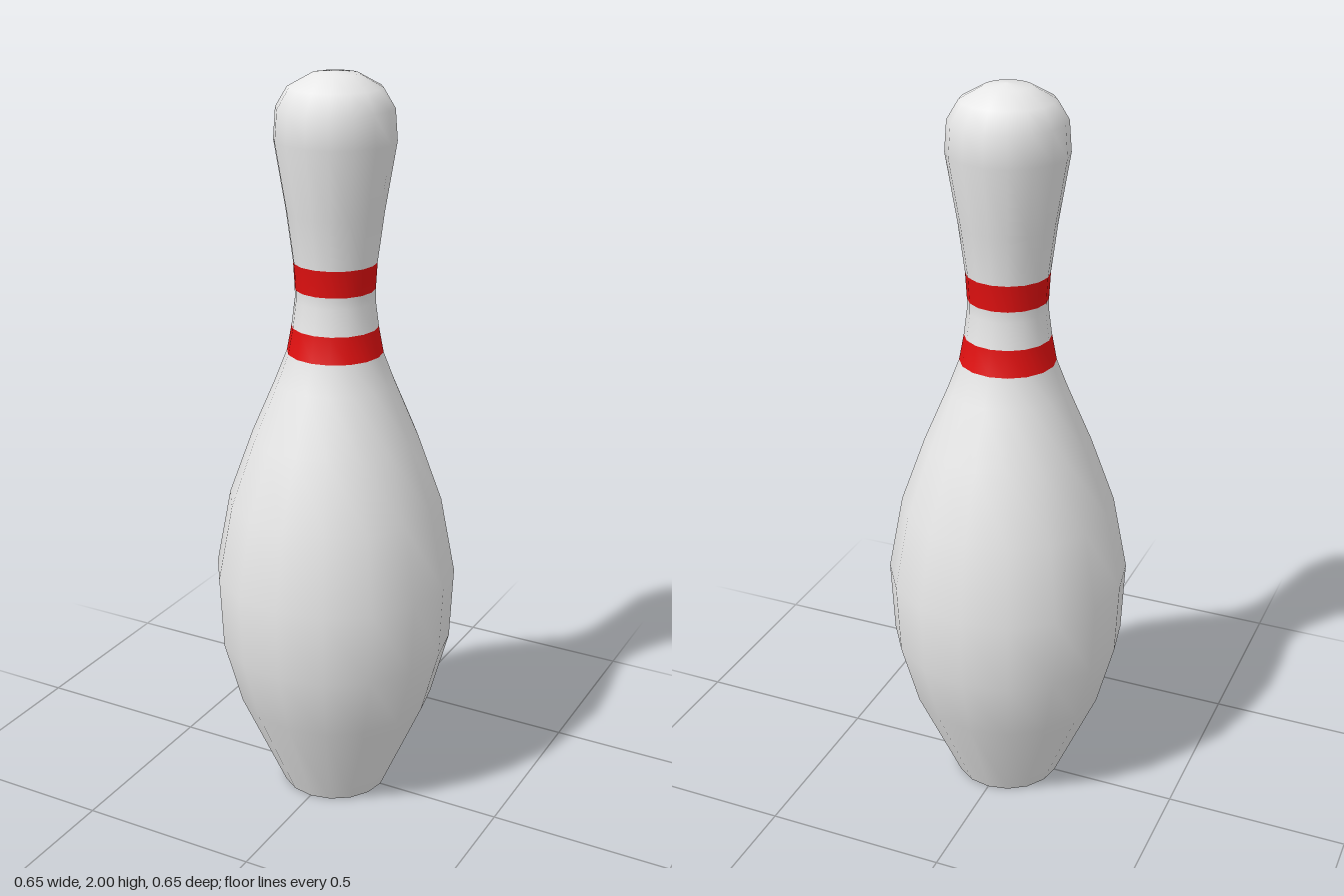
import * as THREE from 'three';

const SIDES = 16;

// Outline from base to crown: radius, height
const PROFILE = [
  [0.147, 0], [0.27, 0.28], [0.318, 0.46], [0.327, 0.66], [0.287, 0.87],
  [0.222, 1.05], [0.158, 1.2], [0.127, 1.28], [0.114, 1.35], [0.105, 1.42],
  [0.105, 1.45], [0.109, 1.52], [0.126, 1.65], [0.156, 1.83], [0.15, 1.91],
  [0.12, 1.96], [0.06, 1.993], [0, 2],
];
// Profile rows that carry a neck stripe
const STRIPES = [7, 10];

export function createModel() {
  const white = new THREE.MeshStandardMaterial({ color: 0xe8e8e8 });
  white.name = 'white';
  const red = new THREE.MeshStandardMaterial({ color: 0xe01010 });
  red.name = 'stripeRed';

  const pin = new THREE.Group();
  pin.name = 'bowlingPin';

  // Turned body, one smooth surface with the stripes as material groups
  const points = PROFILE.map(([r, y]) => new THREE.Vector2(r, y));
  const geometry = new THREE.LatheGeometry(points, SIDES);
  const rows = PROFILE.length - 1;
  for (let side = 0; side < SIDES; side++) {
    for (let row = 0; row < rows; row++) {
      geometry.addGroup((side * rows + row) * 6, 6, STRIPES.includes(row) ? 1 : 0);
    }
  }
  const body = new THREE.Mesh(geometry, [white, red]);
  body.name = 'body';
  pin.add(body);

  // Flat underside
  const base = new THREE.Mesh(new THREE.CircleGeometry(PROFILE[0][0], SIDES), white);
  base.name = 'base';
  base.rotation.x = Math.PI / 2;
  pin.add(base);

  return pin;
}
